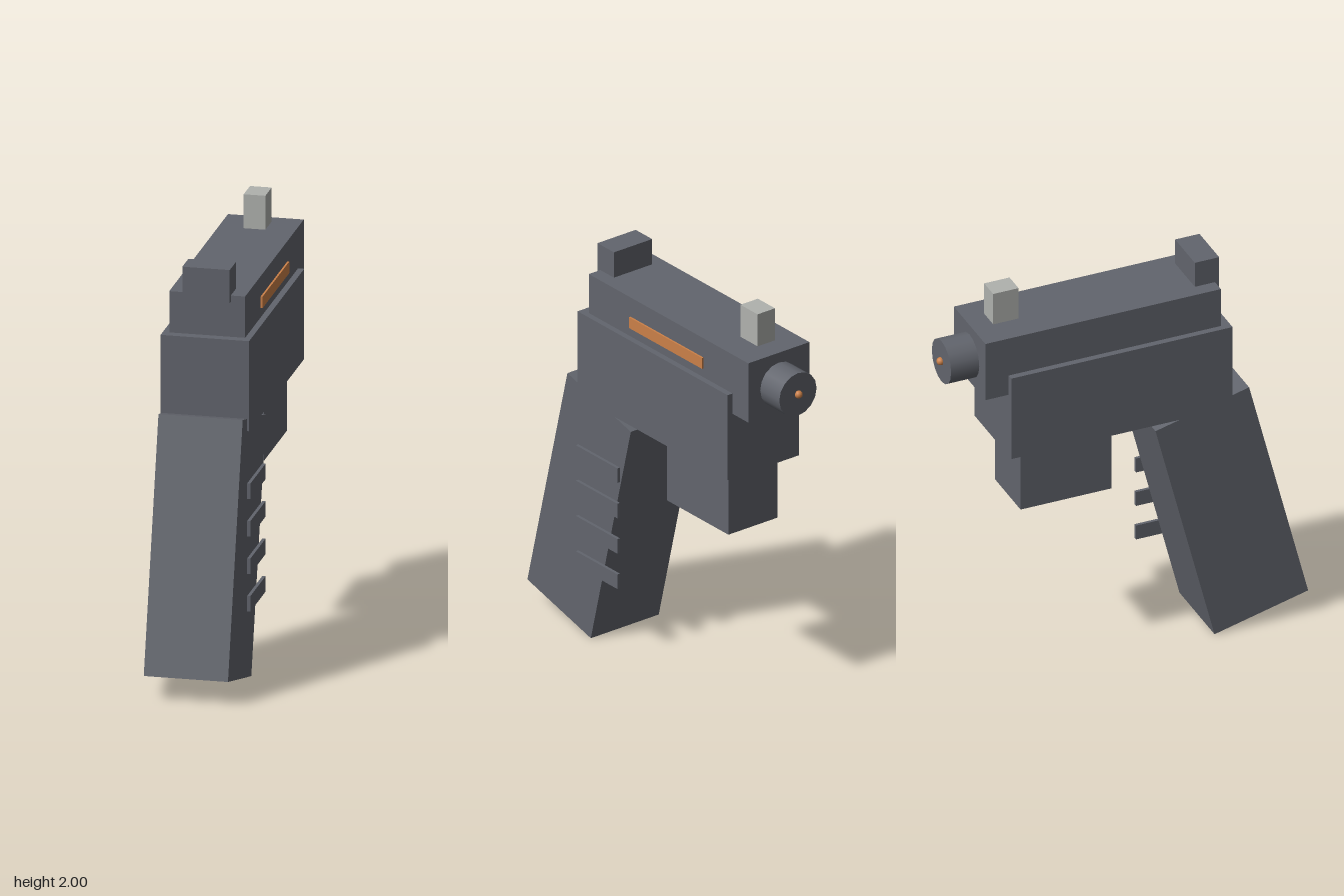
import * as THREE from 'three';

export function createModel() {
  const group = new THREE.Group();
  const material = (name, color) => {
    const m = new THREE.MeshStandardMaterial({ color });
    m.name = name;
    return m;
  };
  const grey = material('gunmetal grey', 0x62656d);
  const silver = material('light grey', 0xb0b2ae);
  const copper = material('copper', 0xcb8048);

  const add = (name, geometry, mat, x, y, z) => {
    const mesh = new THREE.Mesh(geometry, mat);
    mesh.name = name;
    mesh.position.set(x, y, z);
    group.add(mesh);
    return mesh;
  };
  // Box given by its [min, max] extents on each axis
  const box = (name, mat, [x0, x1], [y0, y1], [z0, z1]) =>
    add(name, new THREE.BoxGeometry(x1 - x0, y1 - y0, z1 - z0), mat,
      (x0 + x1) / 2, (y0 + y1) / 2, (z0 + z1) / 2);

  // Body: the muzzle points to -z
  box('frame', grey, [-0.213, 0.2], [1.2, 1.63], [-0.6, 0.5]);
  box('slide', grey, [-0.183, 0.171], [1.527, 1.827], [-0.715, 0.455]);
  box('triggerBlock', grey, [-0.148, 0.136], [0.875, 1.21], [-0.525, -0.073]);

  // Sights
  box('rearSight', grey, [-0.117, 0.104], [1.797, 1.955], [0.355, 0.476]);
  box('frontSight', silver, [-0.058, 0.043], [1.838, 2.0], [-0.621, -0.495]);

  // Inlaid stripe on the slide
  box('sideStripe', copper, [0.165, 0.18], [1.675, 1.73], [-0.387, 0.147]);

  // Raked grip
  const grip = add('grip', new THREE.BoxGeometry(0.393, 1.195, 0.48), grey, -0.006, 0.642, 0.501);
  grip.rotation.x = -0.248;

  // Grip ribs on the left side
  for (let i = 0; i < 4; i++) {
    const y = 0.378 + i * 0.179;
    box('gripRib', grey, [0.192, 0.207], [y - 0.037, y + 0.037], [0.2, 0.505]);
  }

  // Barrel and bead at the muzzle
  const barrel = add('barrel', new THREE.CylinderGeometry(0.108, 0.108, 0.2, 16), grey, -0.006, 1.67, -0.755);
  barrel.rotation.x = -Math.PI / 2;
  add('muzzleBead', new THREE.SphereGeometry(0.019, 12, 8), copper, -0.006, 1.672, -0.86);

  return group;
}
